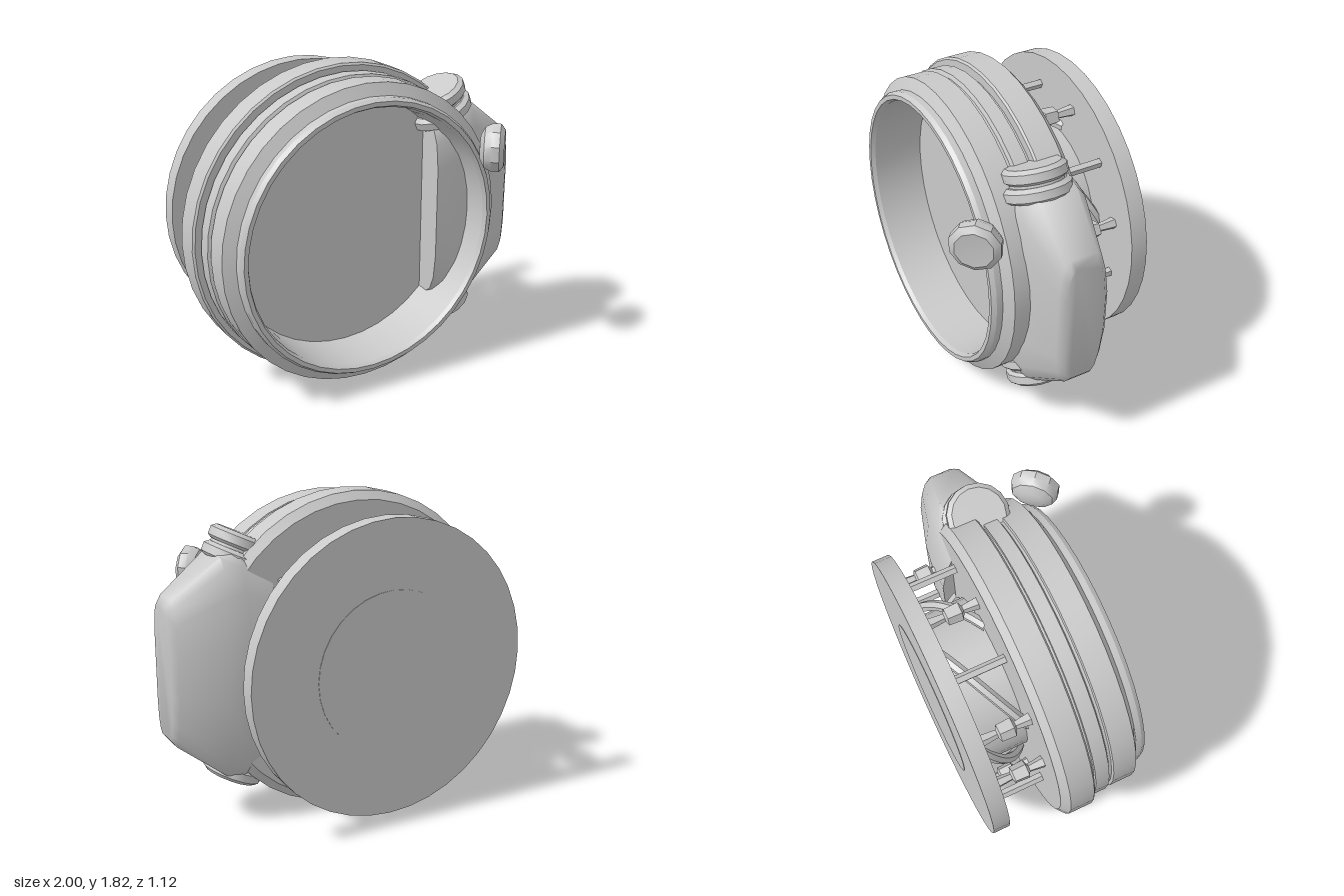
import * as THREE from 'three';
import { toCreasedNormals } from 'three/addons/utils/BufferGeometryUtils.js';

const grey = new THREE.MeshStandardMaterial({ color: 0xc9c9c9 });
grey.name = 'plain grey';

const CX = -0.09, CY = 0.915;

export function createModel() {
  const model = new THREE.Group();
  model.name = 'drumHousing';

  const add = (name, geometry, parent = model, crease = 0.6) => {
    const mesh = new THREE.Mesh(toCreasedNormals(geometry, crease), grey);
    mesh.name = name;
    parent.add(mesh);
    return mesh;
  };
  // Turned part whose axis runs along z; points are [radius, z], back to front
  const turned = (points, segments) =>
    new THREE.LatheGeometry(points.map(([r, z]) => new THREE.Vector2(r, z)), segments).rotateX(Math.PI / 2);

  // Everything centred on the main axis
  const core = new THREE.Group();
  core.name = 'core';
  core.position.set(CX, CY, 0);
  model.add(core);

  // Stepped housing: large back ring, middle ring, front ring, lip and open bore
  add('housing', turned([
    [0, -0.18], [0.865, -0.18], [0.912, -0.14], [0.912, 0], [0.9, 0.01],
    [0.85, 0.01], [0.85, 0.03], [0.872, 0.03], [0.872, 0.11], [0.85, 0.12],
    [0.85, 0.135], [0.866, 0.14], [0.866, 0.275], [0.8, 0.31],
    [0.8, 0.345], [0.785, 0.37], [0.76, 0.37], [0.748, 0.345], [0.735, 0.05], [0, 0.05],
  ], 40), core, 0.4);

  // Back plate and the drum joining it to the housing
  add('backPlate', turned([[0, -0.565], [0.833, -0.565], [0.833, -0.468], [0, -0.468]], 40), core);
  add('drum', turned([[0, -0.568], [0.45, -0.568], [0.45, -0.17], [0, -0.17]], 32), core);

  // Slanted ribs wound around the drum
  for (let k = 0; k < 5; k++) {
    const points = [];
    for (let i = 0; i <= 8; i++) {
      const a = THREE.MathUtils.degToRad(152 - 72 * k) - (i / 8) * 1.25;
      points.push(new THREE.Vector3(0.49 * Math.cos(a), 0.49 * Math.sin(a), -0.17 - 0.31 * (i / 8)));
    }
    add('drumRib', new THREE.TubeGeometry(new THREE.CatmullRomCurve3(points), 16, 0.03, 6), core);
  }

  // Twelve posts; some carry a blocky joint in the middle
  const jointed = [15, 75, 135, 165, 225, 285, 315];
  for (let deg = 15; deg < 360; deg += 30) {
    const a = THREE.MathUtils.degToRad(deg);
    const post = add('post', turned(jointed.includes(deg)
      ? [[0.035, -0.48], [0.024, -0.37], [0.05, -0.36], [0.055, -0.28], [0.024, -0.265], [0.037, -0.17]]
      : [[0.026, -0.48], [0.026, -0.17]], 5), core, 0.2);
    post.position.set(0.66 * Math.cos(a), 0.66 * Math.sin(a), 0);
    post.rotation.z = a;
  }

  // Side case: rounded hexagonal sections lofted along x
  const section = [[1, 0.55], [0.93, 0.76], [0.78, 0.92], [0.5, 1], [-0.5, 1], [-0.78, 0.92], [-0.93, 0.76], [-1, 0.55],
    [-1, -0.5], [-0.9, -0.7], [-0.68, -0.86], [-0.3, -1], [0.3, -1], [0.68, -0.86], [0.9, -0.7], [1, -0.5]];
  // x, half height, front depth, back depth
  const stations = [[0.43, 0.53, 0.21, 0.25], [0.6, 0.64, 0.21, 0.25], [0.7, 0.62, 0.2, 0.235],
    [0.97, 0.41, 0.14, 0.155], [1, 0.37, 0.11, 0.125]];
  const position = [], index = [], n = section.length;
  for (const [x, half, front, back] of stations) {
    for (const [y, z] of section) position.push(x, CY + y * half, z * (z > 0 ? front : back));
  }
  const last = (stations.length - 1) * n;
  for (let j = 0; j < n; j++) {
    const k = (j + 1) % n;
    for (let i = 0; i < last; i += n) index.push(i + j, i + k, i + n + k, i + j, i + n + k, i + n + j);
    if (j > 0 && j < n - 1) index.push(0, j + 1, j, last, last + j, last + j + 1);
  }
  const caseGeometry = new THREE.BufferGeometry();
  caseGeometry.setAttribute('position', new THREE.Float32BufferAttribute(position, 3));
  caseGeometry.setIndex(index);
  add('sideCase', caseGeometry, model, 0.9);

  // Clamps at the upper and lower ends of the case: a neck with two bands
  for (const side of [1, -1]) {
    const clamp = new THREE.Group();
    clamp.name = side > 0 ? 'upperClamp' : 'lowerClamp';
    clamp.position.set(0.55, CY + side * 0.572, 0.03);
    clamp.rotation.z = side * -0.43 + (side > 0 ? 0.86 : Math.PI);
    model.add(clamp);
    const neck = add('neck', new THREE.CylinderGeometry(0.15, 0.15, 0.16, 16), clamp);
    neck.position.set(side * 0.012, 0.04, 0);
    for (const [radius, shift, along] of [[0.19, 0, 0], [0.172, 0.016, 0.095]]) {
      const profile = [[0, -0.04], [radius - 0.02, -0.04], [radius, -0.025], [radius, 0.02], [radius - 0.025, 0.04], [0, 0.04]];
      const band = add('band', new THREE.LatheGeometry(profile.map(([r, y]) => new THREE.Vector2(r, y)), 16), clamp);
      band.position.set(side * shift, along, 0);
    }
  }

  // Tilted round knob at the front
  const knob = add('knob', turned([[0, -0.08], [0.07, -0.075], [0.12, -0.05], [0.14, -0.01], [0.14, 0.035], [0.105, 0.06], [0, 0.052]], 10));
  knob.position.set(0.65, 1.345, 0.43);
  knob.rotation.y = 0.86;

  return model;
}
